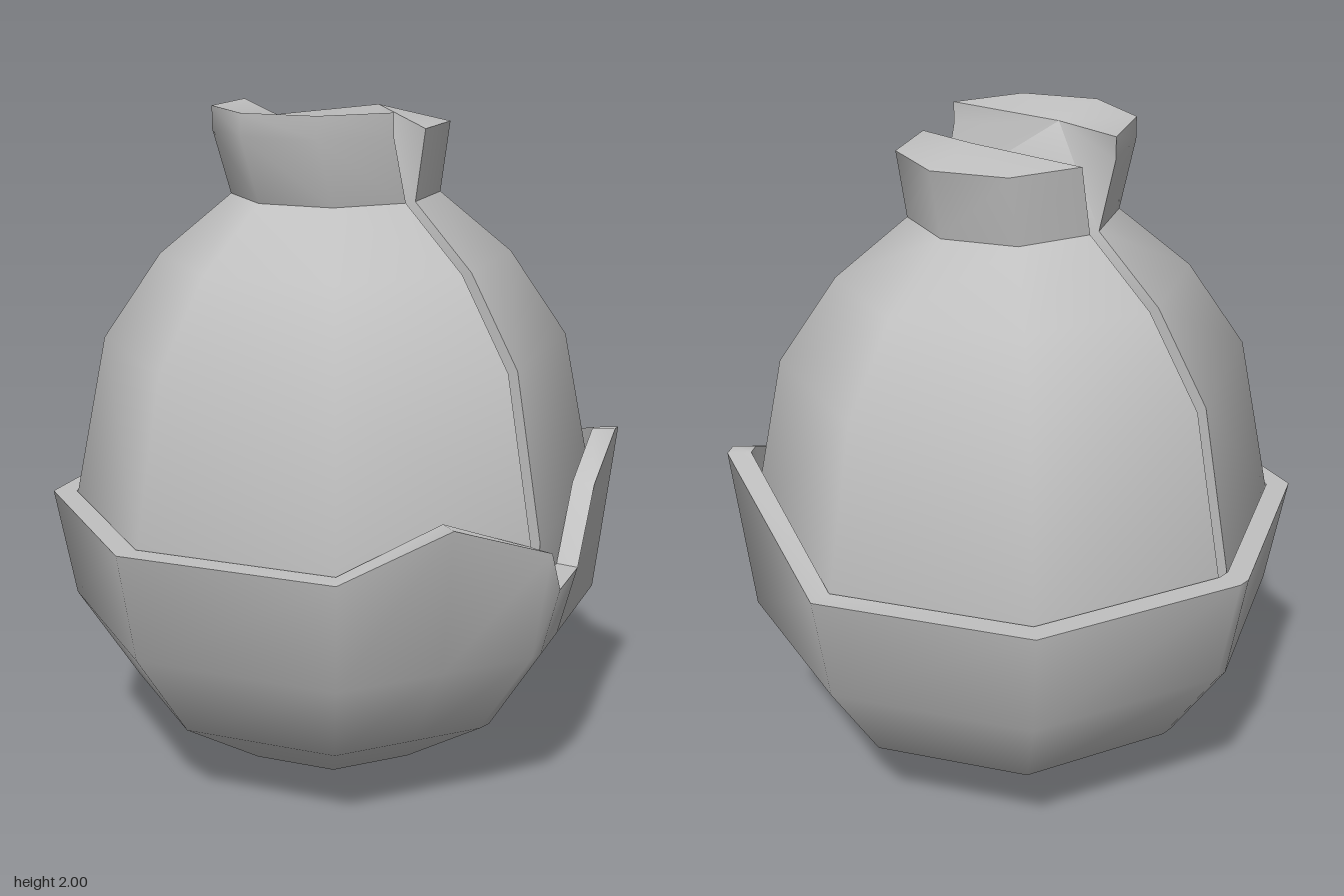
import * as THREE from 'three';
import { toCreasedNormals } from 'three/addons/utils/BufferGeometryUtils.js';

const GAP = 0.02; // half width of the slit

// Geometry from a list of triangles (arrays of three Vector3)
function fromTriangles(tris, flip) {
  const pos = [];
  for (const [a, b, c] of tris) {
    const area = b.clone().sub(a).cross(c.clone().sub(a)).length();
    if (area < 1e-7) continue;
    for (const p of flip ? [a, c, b] : [a, b, c]) pos.push(p.x, p.y, p.z);
  }
  const g = new THREE.BufferGeometry();
  g.setAttribute('position', new THREE.Float32BufferAttribute(pos, 3));
  return toCreasedNormals(g, THREE.MathUtils.degToRad(50));
}

// Triangles joining successive rows of points
function loft(rows, closed) {
  const tris = [], n = rows[0].length;
  for (let j = 0; j < rows.length - 1; j++) {
    for (let i = 0; i < (closed ? n : n - 1); i++) {
      const k = (i + 1) % n;
      const a = rows[j][i], b = rows[j][k], c = rows[j + 1][k], d = rows[j + 1][i];
      tris.push([a, b, c], [a, c, d]);
    }
  }
  return tris;
}

// Half octagon from front to back, pushed sideways by offset
function halfRing(side, offset, r, y) {
  return [0, 1, 2, 3, 4].map((i) => {
    const t = (i * Math.PI) / 4;
    return new THREE.Vector3(side * (offset + r * Math.sin(t)), y, r * Math.cos(t));
  });
}

// One half of the bulb with its flared neck
function bulbHalf(side, neckRings, centre) {
  const profile = [[0.765, 0.55], [0.765, 0.85], [0.67, 1.32], [0.5, 1.57], [0.29, 1.745]];
  const rows = profile.map(([r, y]) => halfRing(side, GAP, r, y));
  const tris = loft(rows, true);

  // neck outside
  const neck = [rows[rows.length - 1], ...neckRings.map(([o, r, y]) => halfRing(side, o, r, y))];
  tris.push(...loft(neck, false));

  // neck inside and cap, fanned to a centre point
  const c = new THREE.Vector3(side * centre[0], centre[1], 0);
  tris.push([neck[0][4], neck[0][0], c]);
  for (let j = 0; j < neck.length - 1; j++) {
    tris.push([neck[j][0], neck[j + 1][0], c], [neck[j + 1][4], neck[j][4], c]);
  }
  const top = neck[neck.length - 1];
  for (let i = 0; i < 4; i++) tris.push([top[i], top[i + 1], c]);
  return fromTriangles(tris, side < 0);
}

// Outer cup with a broken rim
function cupGeometry() {
  // columns: side, eighth-turn position (fractions lie along a flat), rim height
  const columns = [
    [1, 0, 0.73], [1, 0.3, 0.73], [1, 0.56, 0.93], [1, 0.94, 1.035], [1, 1, 1.03],
    [1, 2, 0.845], [1, 3, 0.845], [1, 4, 0.845],
    [-1, 4, 0.845], [-1, 3, 0.845], [-1, 2, 0.845], [-1, 1, 0.845],
    [-1, 0.47, 0.95], [-1, 0, 0.845],
  ];
  const ring = (r, y) => columns.map(([s, p, rim]) => {
    const lo = Math.floor(p), f = p - lo;
    const mix = (fn) => fn((lo * Math.PI) / 4) * (1 - f) + fn(((lo + 1) * Math.PI) / 4) * f;
    return new THREE.Vector3(s * (GAP + r * mix(Math.sin)), y ?? rim, r * mix(Math.cos));
  });
  const rows = [
    ring(0, 0), ring(0.32, 0.07), ring(0.6, 0.25), ring(0.78, 0.52),
    ring(0.84), ring(0.77), ring(0.77, 0.55),
  ];
  return fromTriangles(loft(rows, true), false);
}

// Thin filling set back inside the slit
function coreGeometry() {
  const half = [[0.72, 0.5], [0.72, 0.85], [0.62, 1.3], [0.45, 1.53], [0.25, 1.69]];
  const pts = [
    ...half.map(([z, y]) => new THREE.Vector2(z, y)),
    new THREE.Vector2(0, 1.74),
    ...half.map(([z, y]) => new THREE.Vector2(-z, y)).reverse(),
  ];
  const g = new THREE.ExtrudeGeometry(new THREE.Shape(pts), { depth: 2 * GAP, bevelEnabled: false });
  return g.translate(0, 0, -GAP).rotateY(Math.PI / 2);
}

export function createModel() {
  const grey = new THREE.MeshStandardMaterial({ color: 0xc0c0c0 });
  grey.name = 'plain grey';
  const group = new THREE.Group();
  group.name = 'splitPod';
  const add = (name, geometry) => {
    const mesh = new THREE.Mesh(geometry, grey);
    mesh.name = name;
    group.add(mesh);
  };
  add('cup', cupGeometry());
  add('leftHalf', bulbHalf(1, [[0.06, 0.29, 1.945]], [0.18, 1.985]));
  add('rightHalf', bulbHalf(-1, [[0.08, 0.297, 1.935], [0.08, 0.297, 2.0]], [0.2, 1.97]));
  add('core', coreGeometry());
  return group;
}
